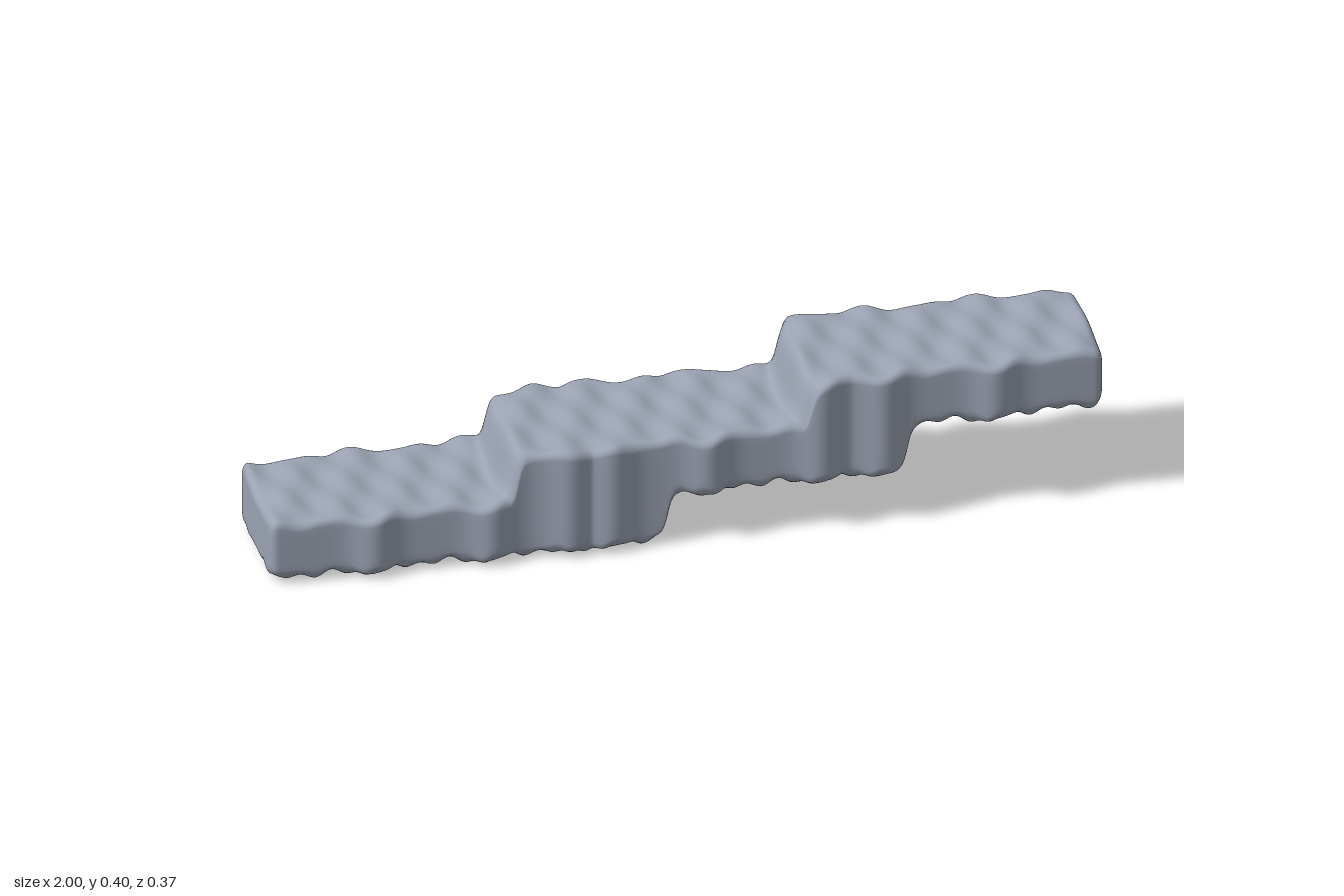
import * as THREE from 'three';

const LEVEL = 0.116; // rise of each terrace
const RIDGES = [-0.75, -0.47, -0.28, -0.18, 0.05, 0.32, 0.47, 0.74];

const step = (x, at, w) => 0.5 + 0.5 * Math.tanh((x - at) / w);

// Terraced upper surface with slanting ripples
function topY(x, z) {
  const bow = 0.02 * Math.pow(Math.min(1, Math.abs(z) / 0.17), 6);
  const rise = step(x, -0.425 + bow, 0.013) + step(x, 0.275 + bow, 0.013);
  const ripple = 0.005 * Math.sin(46 * x + 18 * z) + 0.002 * Math.sin(71 * x - 25 * z);
  return 0.168 + LEVEL * rise + ripple;
}

// Terraced underside with small knobbly bumps
function bottomY(x, z) {
  const rise = step(x, -0.045, 0.012) + step(x, 0.53, 0.012);
  const bumps = 0.006 * Math.sin(88 * x + 8 * z) * Math.cos(85 * z) + 0.004 * Math.sin(47 * x - 20 * z);
  return 0.016 + LEVEL * rise + bumps;
}

// Upright folds along both long sides
function halfWidth(x) {
  let fold = 0;
  for (const r of RIDGES) fold = Math.max(fold, Math.exp(-(((x - r) / 0.05) ** 2)));
  return 0.163 + 0.024 * fold;
}

// Rounded rectangle outline: edge position (sz, sy) plus corner direction (cz, cy)
function outline() {
  const ring = [];
  const corners = [[-1, 1], [1, 1], [1, -1], [-1, -1]];
  corners.forEach(([sz, sy], k) => {
    const start = Math.PI - k * Math.PI / 2;
    for (let i = 0; i <= 5; i++) {
      const a = start - (i / 5) * Math.PI / 2;
      ring.push({ sz, sy, cz: Math.cos(a), cy: Math.sin(a) });
    }
    const [nz, ny] = corners[(k + 1) % 4];
    const n = k % 2 ? 6 : 28;
    const a = start - Math.PI / 2;
    for (let i = 1; i < n; i++) {
      const t = i / n;
      ring.push({ sz: sz + (nz - sz) * t, sy: sy + (ny - sy) * t, cz: Math.cos(a), cy: Math.sin(a) });
    }
  });
  return ring;
}

// Stations along the length: body, then rounded and closed ends
function stations() {
  const R = 0.02, end = [];
  for (const scale of [0, 0.3, 0.6, 0.9]) end.push({ x: -1, inset: R, scale });
  for (let i = 0; i < 5; i++) {
    const a = (i / 5) * Math.PI / 2;
    end.push({ x: -1 + R * (1 - Math.cos(a)), inset: R * (1 - Math.sin(a)), scale: 1 });
  }
  const body = [];
  for (let i = 0; i <= 320; i++) body.push({ x: -0.98 + 1.96 * i / 320, inset: 0, scale: 1 });
  return [...end, ...body, ...end.map(s => ({ ...s, x: -s.x })).reverse()];
}

function terraceGeometry() {
  const ring = outline(), list = stations();
  const n = ring.length, pos = [], index = [];
  for (const { x, inset, scale } of list) {
    const hw = halfWidth(x) - inset;
    const mid = (topY(x, 0) + bottomY(x, 0)) / 2;
    for (const { sz, sy, cz, cy } of ring) {
      const r = sy < 0 ? 0.028 : 0.02;
      const z = sz * (hw - r) + cz * r;
      const lo = bottomY(x, z) + inset + r;
      const hi = topY(x, z) - inset - r;
      const y = lo + (hi - lo) * (sy + 1) / 2 + cy * r;
      pos.push(x, mid + (y - mid) * scale, z * scale);
    }
  }
  for (let i = 0; i < list.length - 1; i++) {
    for (let j = 0; j < n; j++) {
      const k = (j + 1) % n;
      const a = i * n + j, b = i * n + k, c = a + n, d = b + n;
      index.push(a, b, c, b, d, c);
    }
  }
  const geo = new THREE.BufferGeometry();
  geo.setAttribute('position', new THREE.Float32BufferAttribute(pos, 3));
  geo.setIndex(index);
  geo.computeVertexNormals();
  return geo;
}

export function createModel() {
  const stone = new THREE.MeshStandardMaterial({ color: 0x9ba3b3 });
  stone.name = 'blueGreyStone';
  const model = new THREE.Group();
  model.name = 'terracedLedge';
  const ledge = new THREE.Mesh(terraceGeometry(), stone);
  ledge.name = 'steppedRock';
  model.add(ledge);
  return model;
}
